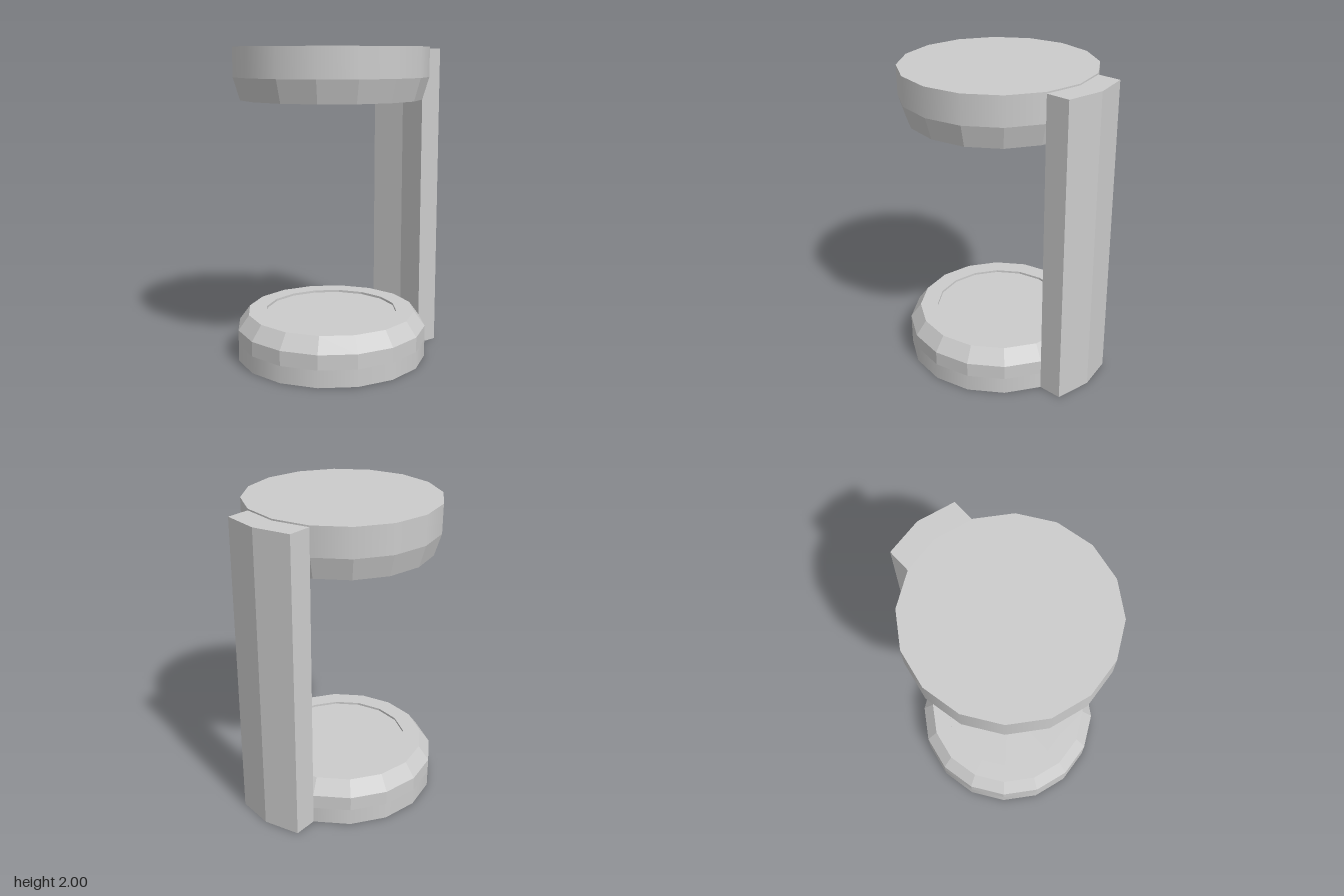
import * as THREE from 'three';

const SIDES = 16;
const R = 0.617; // disc radius
const CZ = 0.075; // disc centre in z

const smooth = new THREE.MeshStandardMaterial({ color: 0xcccccc });
const flat = new THREE.MeshStandardMaterial({ color: 0xcccccc, flatShading: true });

// Profile points [radius, height] run from bottom to top
function turned(name, points, material) {
  const profile = points.map(([r, y]) => new THREE.Vector2(r, y));
  const mesh = new THREE.Mesh(new THREE.LatheGeometry(profile, SIDES), material);
  mesh.name = name;
  return mesh;
}

function disc(name, ...parts) {
  const group = new THREE.Group();
  group.name = name;
  group.position.z = CZ;
  group.add(...parts);
  return group;
}

export function createModel() {
  const model = new THREE.Group();
  model.name = 'twoDiscStand';

  // Base: smooth side, faceted shoulder and bevel, shallow recess on top
  model.add(disc('base',
    turned('baseUnderside', [[0, 0], [R, 0]], flat),
    turned('baseSide', [[R, 0], [R, 0.11]], smooth),
    turned('baseBevelAndRecess',
      [[R, 0.11], [R, 0.205], [0.547, 0.3], [0.43, 0.3], [0.43, 0.285], [0, 0.285]], flat)));

  // Head: recess below, faceted bevel, smooth side, flat top
  model.add(disc('head',
    turned('headRecessAndBevel',
      [[0, 1.69], [0.45, 1.69], [0.45, 1.675], [0.575, 1.675], [R, 1.815]], flat),
    turned('headSide', [[R, 1.815], [R, 2]], smooth),
    turned('headTop', [[R, 2], [0, 2]], flat)));

  // Back column: chevron section fitted to the two rear facets of the discs
  const w = R * Math.sin(Math.PI / 8);
  const inner = R * Math.cos(Math.PI / 8) - CZ;
  const apex = R - CZ;
  const depth = 0.154;
  const section = new THREE.Shape([
    [-w, inner], [0, apex], [w, inner],
    [w, inner + depth], [0, apex + depth], [-w, inner + depth],
  ].map(([x, y]) => new THREE.Vector2(x, y)));
  const geometry = new THREE.ExtrudeGeometry(section, { depth: 1.99, bevelEnabled: false });
  geometry.rotateX(-Math.PI / 2);
  const column = new THREE.Mesh(geometry, flat);
  column.name = 'backColumn';
  model.add(column);

  return model;
}
